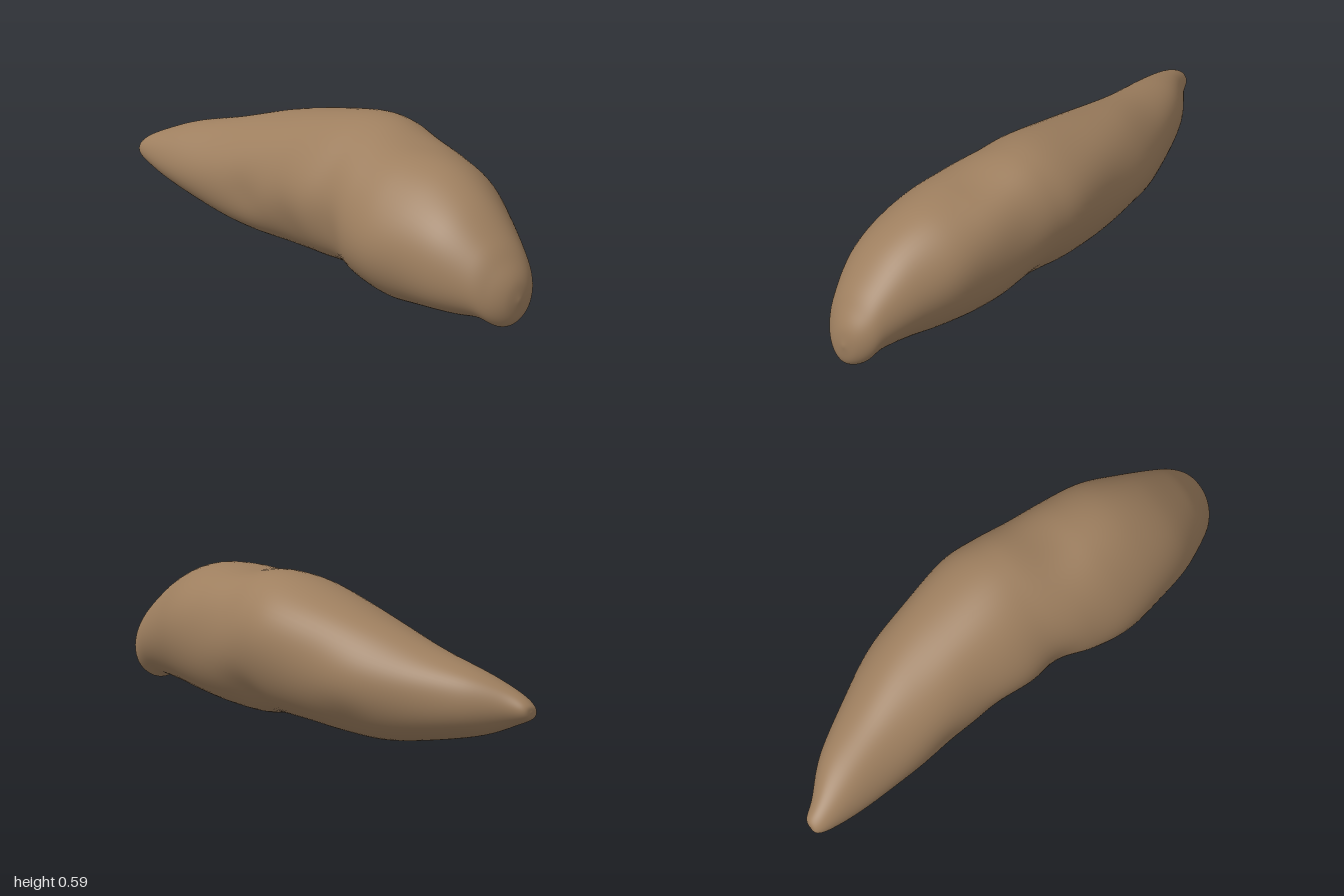
import * as THREE from 'three';
import { mergeVertices } from 'three/addons/utils/BufferGeometryUtils.js';

// Cross-sections along the root: x, bottom y, top y, back z, front z
const SECTIONS = [
  [-1, 0.22, 0.22, 0.175, 0.175],
  [-0.99, 0.19, 0.25, 0.14, 0.208],
  [-0.93, 0.16, 0.29, 0.095, 0.226],
  [-0.8, 0.105, 0.35, -0.02, 0.234],
  [-0.6, 0.055, 0.41, -0.13, 0.234],
  [-0.4, 0.025, 0.48, -0.22, 0.232],
  [-0.2, 0.025, 0.54, -0.265, 0.23],
  [0, 0.034, 0.585, -0.297, 0.25],
  [0.14, 0.034, 0.592, -0.29, 0.246],
  [0.28, 0.01, 0.572, -0.278, 0.275],
  [0.44, 0.001, 0.555, -0.262, 0.292],
  [0.6, 0.014, 0.522, -0.235, 0.272],
  [0.75, 0.026, 0.45, -0.18, 0.235],
  [0.88, 0.036, 0.345, -0.132, 0.172],
  [0.945, 0.02, 0.27, -0.105, 0.122],
  [0.985, 0.05, 0.205, -0.06, 0.065],
  [1, 0.13, 0.13, 0, 0],
];

// Shallow dents in the skin: centre x, y, z, radius, depth
const DENTS = [
  [-0.36, 0.2, 0.23, 0.09, 0.012],
  [-0.12, 0.17, 0.23, 0.12, 0.012],
  [0.16, 0.22, 0.25, 0.12, 0.014],
  [0.05, 0.42, 0.2, 0.12, 0.01],
  [0.35, 0.55, -0.05, 0.1, 0.01],
  [0.2, 0.12, -0.22, 0.1, 0.014],
  [-0.35, 0.15, -0.15, 0.1, 0.012],
  [0.86, 0.05, 0.05, 0.05, 0.01],
];

const TILT = -0.15; // leans each section so the back flank sits higher
const RINGS = 112, SIDES = 64;

function rootGeometry() {
  const curve = (a, b) => new THREE.CatmullRomCurve3(
    SECTIONS.map((s) => new THREE.Vector3(s[0], s[a], s[b])), false, 'catmullrom', 0.5);
  const heights = curve(1, 2), depths = curve(3, 4);
  const positions = [], index = [];
  const p = new THREE.Vector3(), centre = new THREE.Vector3(), dent = new THREE.Vector3();

  for (let i = 0; i <= RINGS; i++) {
    const h = heights.getPoint(i / RINGS), d = depths.getPoint(i / RINGS);
    centre.set(h.x, (h.y + h.z) / 2, (d.y + d.z) / 2);
    const ry = (h.z - h.y) / 2, rz = (d.z - d.y) / 2;
    for (let j = 0; j < SIDES; j++) {
      const t = (j / SIDES) * Math.PI * 2;
      // gentle long waves keep the skin irregular
      const wave = 1 + 0.008 * Math.sin(3 * t + 5 * h.x) + 0.006 * Math.sin(5 * t - 11 * h.x);
      p.set(h.x, centre.y + ry * wave * Math.sin(t + TILT), centre.z + rz * wave * Math.cos(t));
      let push = 0;
      for (const [x, y, z, r, depth] of DENTS) {
        push += depth * Math.exp(-p.distanceToSquared(dent.set(x, y, z)) / (r * r));
      }
      p.lerp(centre, Math.min(0.2, push / Math.max(ry, rz, 0.06)));
      positions.push(p.x, Math.max(0, p.y), p.z);
      if (i < RINGS) {
        const a = i * SIDES + j, b = i * SIDES + (j + 1) % SIDES;
        index.push(a, a + SIDES, b, b, a + SIDES, b + SIDES);
      }
    }
  }
  const geometry = new THREE.BufferGeometry();
  geometry.setAttribute('position', new THREE.Float32BufferAttribute(positions, 3));
  geometry.setIndex(index);
  const welded = mergeVertices(geometry, 1e-5); // joins the points at both tips
  welded.computeVertexNormals();
  return welded;
}

export function createModel() {
  const group = new THREE.Group();
  group.name = 'rootVegetable';
  const skin = new THREE.MeshStandardMaterial({ color: 0x9e7f5f });
  skin.name = 'earthy brown skin';
  const body = new THREE.Mesh(rootGeometry(), skin);
  body.name = 'tuberBody';
  group.add(body);
  return group;
}
